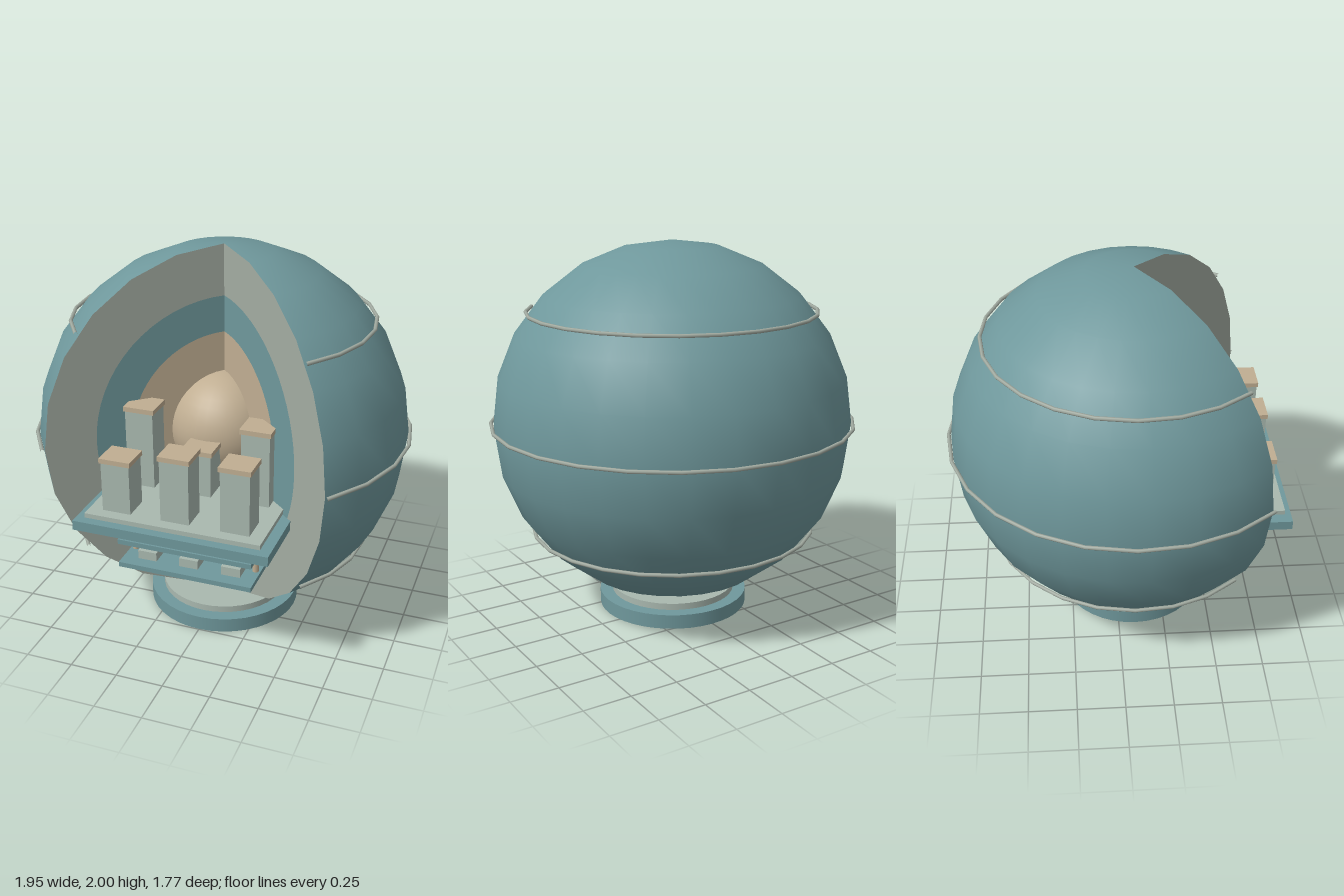
import * as THREE from 'three';

const CY = 1.045, CZ = 0.092, R = 0.955;   // globe centre and radius
const HALF = 0.848;                        // half angle of the open wedge
const ARC = Math.PI * 2 - HALF * 2;

export function createModel() {
  const model = new THREE.Group();
  const material = (name, color, side = THREE.FrontSide) => {
    const m = new THREE.MeshStandardMaterial({ color, side });
    m.name = name;
    return m;
  };
  const teal = material('teal', 0x6f989c);
  const stone = material('stone', 0xa3aca2);
  const pale = material('pale grey green', 0xa9b8af);
  const sand = material('sand', 0xc0ae92);

  const add = (name, geometry, mat, x = 0, y = 0, z = 0, parent = model) => {
    const mesh = new THREE.Mesh(geometry, mat);
    mesh.name = name;
    mesh.position.set(x, y, z);
    parent.add(mesh);
    return mesh;
  };
  // Box given by its width, bottom, top, back and front
  const box = (name, mat, x, w, y0, y1, z0, z1, parent = model) =>
    add(name, new THREE.BoxGeometry(w, y1 - y0, z1 - z0), mat, x, (y0 + y1) / 2, (z0 + z1) / 2, parent);

  // Stand
  add('standFoot', new THREE.CylinderGeometry(0.405, 0.405, 0.077, 40), teal, 0, 0.0385, CZ);
  add('standCollar', new THREE.CylinderGeometry(0.337, 0.337, 0.035, 40), pale, 0, 0.0945, CZ);

  // Globe shell with a wedge left open at the front
  const globe = new THREE.Group();
  globe.name = 'globe';
  globe.position.set(0, CY, CZ);
  model.add(globe);
  add('shell', new THREE.SphereGeometry(R, 20, 12, Math.PI / 2 + HALF, ARC), teal, 0, 0, 0, globe);
  add('core', new THREE.SphereGeometry(0.29, 32, 20), sand, 0, 0, 0, globe);

  // Layered cut faces: half rings on each side of the wedge
  const halfArc = (r, n, s) => Array.from({ length: n + 1 }, (_, i) => {
    const a = -Math.PI / 2 + Math.PI * i / n;
    return new THREE.Vector2(s * r * Math.cos(a), r * Math.sin(a));
  });
  const layers = [
    ['crustLayer', R, 12, 0.69, stone],
    ['middleLayer', 0.69, 32, 0.5, teal],
    ['innerLayer', 0.5, 32, 0.2, sand],
  ];
  for (const s of [-1, 1]) {
    for (const [name, outer, n, inner, mat] of layers) {
      const shape = new THREE.Shape([...halfArc(outer, n, s), ...halfArc(inner, 32, s).reverse()]);
      const face = add(name, new THREE.ShapeGeometry(shape), mat, 0, 0, 0, globe);
      face.rotation.y = -s * (Math.PI / 2 - HALF);
    }
  }

  // Raised hoops around the shell
  for (const [y, r] of [[0.59, 0.764], [0, 0.968], [-0.59, 0.764]]) {
    const hoop = new THREE.TorusGeometry(r, 0.01, 6, 18, ARC);
    hoop.rotateZ(Math.PI / 2 + HALF).rotateX(Math.PI / 2);
    add('hoop', hoop, stone, 0, y, 0, globe);
  }

  // Projecting deck
  box('deck', teal, 0, 1, 0.73, 0.78, 0.30, 0.887);
  box('deckTop', pale, 0, 0.9, 0.789, 0.813, 0.33, 0.852);

  // Towers: x, z, height of the roof
  const towers = [
    [-0.305, 0.428, 1.243], [0, 0.428, 1.06], [0.305, 0.428, 1.215],
    [-0.305, 0.722, 1.095], [0, 0.722, 1.157], [0.305, 0.722, 1.155],
  ];
  for (const [x, z, top] of towers) {
    const tower = new THREE.Group();
    tower.name = 'tower';
    model.add(tower);
    box('towerBody', pale, x, 0.147, 0.813, top - 0.025, z - 0.07, z + 0.07, tower);
    box('towerRoof', sand, x, 0.162, top - 0.025, top, z - 0.076, z + 0.076, tower);
  }

  // Lower shelves with small blocks, hung on posts
  for (const y of [0.437, 0.57]) {
    box('shelf', teal, 0, 0.71, y, y + 0.026, 0.30, 0.697);
    for (const x of [-0.225, 0, 0.225]) {
      box('shelfBlock', pale, x, 0.1, y + 0.026, y + 0.073, 0.53, 0.63);
    }
  }
  for (const x of [-0.328, 0.328]) {
    add('post', new THREE.CylinderGeometry(0.017, 0.017, 0.28, 10), sand, x, 0.595, 0.54);
  }
  return model;
}
